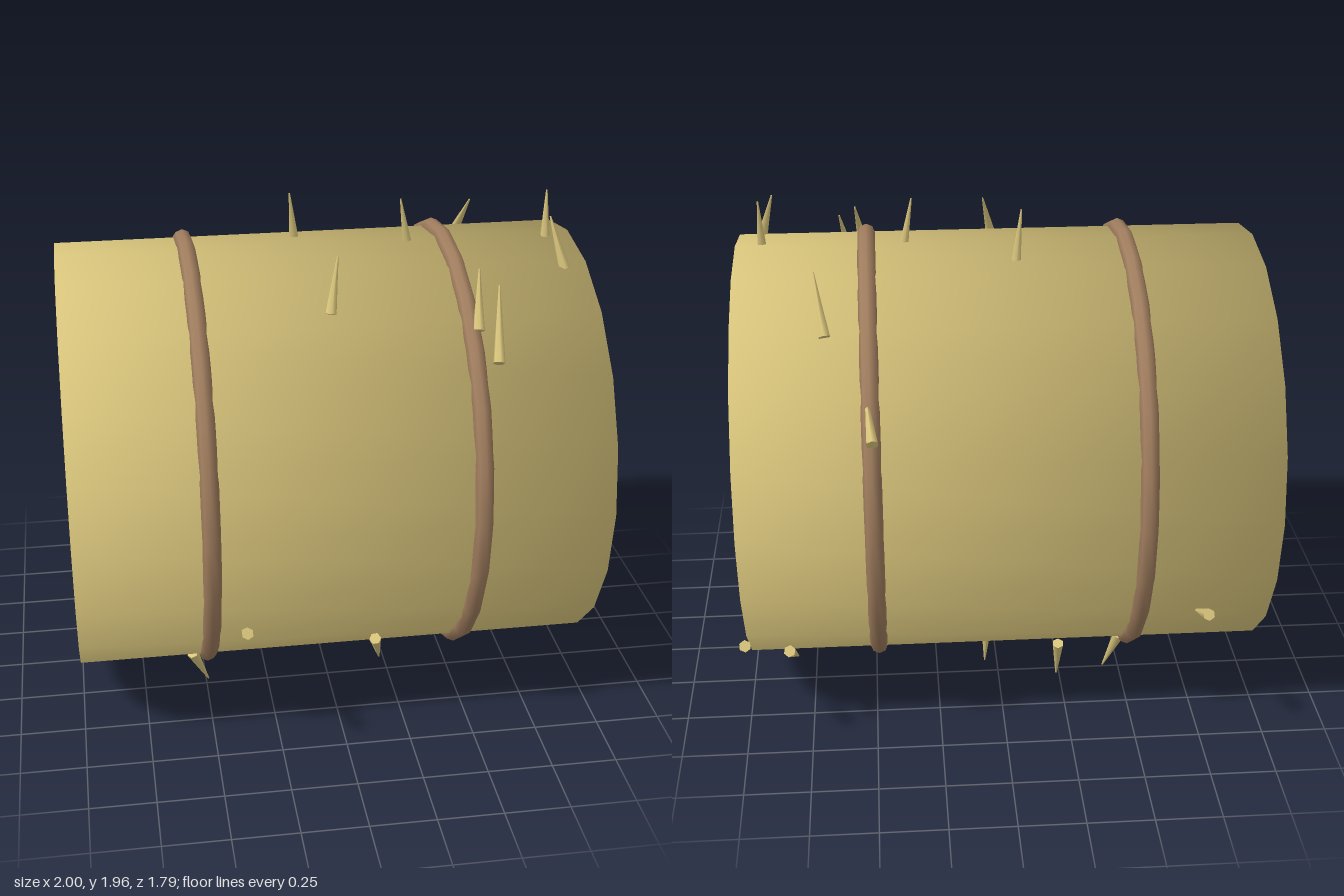
import * as THREE from 'three';

const hay = new THREE.MeshStandardMaterial({ color: 0xd9c57c });
hay.name = 'hay';
const twine = new THREE.MeshStandardMaterial({ color: 0xa07d5e });
twine.name = 'twine';

const CENTER_Y = 0.985;

// Loose straws: [thick end, thin end]
const STRAWS = [
  [[-0.07, 1.74, -0.155], [-0.095, 1.97, -0.12]],
  [[-0.02, 1.68, 0.43], [0.02, 1.87, 0.34]],
  [[0.35, 1.75, 0.01], [0.31, 1.975, 0.03]],
  [[0.88, 1.75, 0.04], [0.885, 1.98, 0.01]],
  [[0.895, 1.75, 0.265], [0.845, 1.94, 0.21]],
  [[0.56, 1.54, 0.64], [0.595, 1.77, 0.46]],
  [[0.505, 1.63, 0.54], [0.53, 1.82, 0.41]],
  [[0.64, 1.64, -0.51], [0.675, 1.835, -0.365]],
  [[-0.73, 0.655, -0.885], [-0.72, 0.55, -0.68]],
  [[0.48, 1.37, -0.84], [0.5, 1.48, -0.64]],
  [[0.975, 0.535, -0.79], [0.985, 0.4, -0.61]],
  [[0.82, 0.44, -0.69], [0.8, 0.3, -0.51]],
  [[-0.39, 0.64, 0.88], [-0.39, 0.53, 0.68]],
  [[0.125, 0.42, 0.64], [0.175, 0.22, 0.46]],
  [[-0.56, 0.24, 0.36], [-0.495, 0.065, 0.285]],
  [[-0.48, 0.25, -0.37], [-0.43, 0.05, -0.285]],
  [[-0.225, 0.27, -0.45], [-0.23, 0.07, -0.36]],
  [[0.045, 0.23, -0.22], [0.05, 0.02, -0.17]],
];

function makeStraw([thick, thin]) {
  const a = new THREE.Vector3(...thick);
  const b = new THREE.Vector3(...thin);
  const axis = b.clone().sub(a);
  const geometry = new THREE.CylinderGeometry(0.003, 0.023, axis.length(), 6);
  const straw = new THREE.Mesh(geometry, hay);
  straw.position.copy(a).lerp(b, 0.5);
  straw.quaternion.setFromUnitVectors(new THREE.Vector3(0, 1, 0), axis.normalize());
  straw.name = 'looseStraw';
  return straw;
}

export function createModel() {
  const group = new THREE.Group();
  group.name = 'hayBale';

  // Round bale lying on its side, shaded softly over the rims
  const geometry = new THREE.CylinderGeometry(0.825, 0.825, 1.98, 20);
  geometry.rotateZ(Math.PI / 2);
  const pos = geometry.attributes.position;
  const n = new THREE.Vector3();
  for (let i = 0; i < pos.count; i++) {
    n.fromBufferAttribute(pos, i).normalize();
    geometry.attributes.normal.setXYZ(i, n.x, n.y, n.z);
  }
  const bale = new THREE.Mesh(geometry, hay);
  bale.position.set(-0.01, CENTER_Y, 0);
  bale.name = 'bale';
  group.add(bale);

  // Two twine bands around the bale
  for (const x of [-0.505, 0.485]) {
    const band = new THREE.Mesh(new THREE.TorusGeometry(0.823, 0.034, 8, 24), twine);
    band.rotation.y = Math.PI / 2;
    band.position.set(x, CENTER_Y, 0);
    band.name = 'twineBand';
    group.add(band);
  }

  // Straws poking out of the surface
  const straws = new THREE.Group();
  straws.name = 'looseStraws';
  for (const ends of STRAWS) straws.add(makeStraw(ends));
  group.add(straws);

  return group;
}
